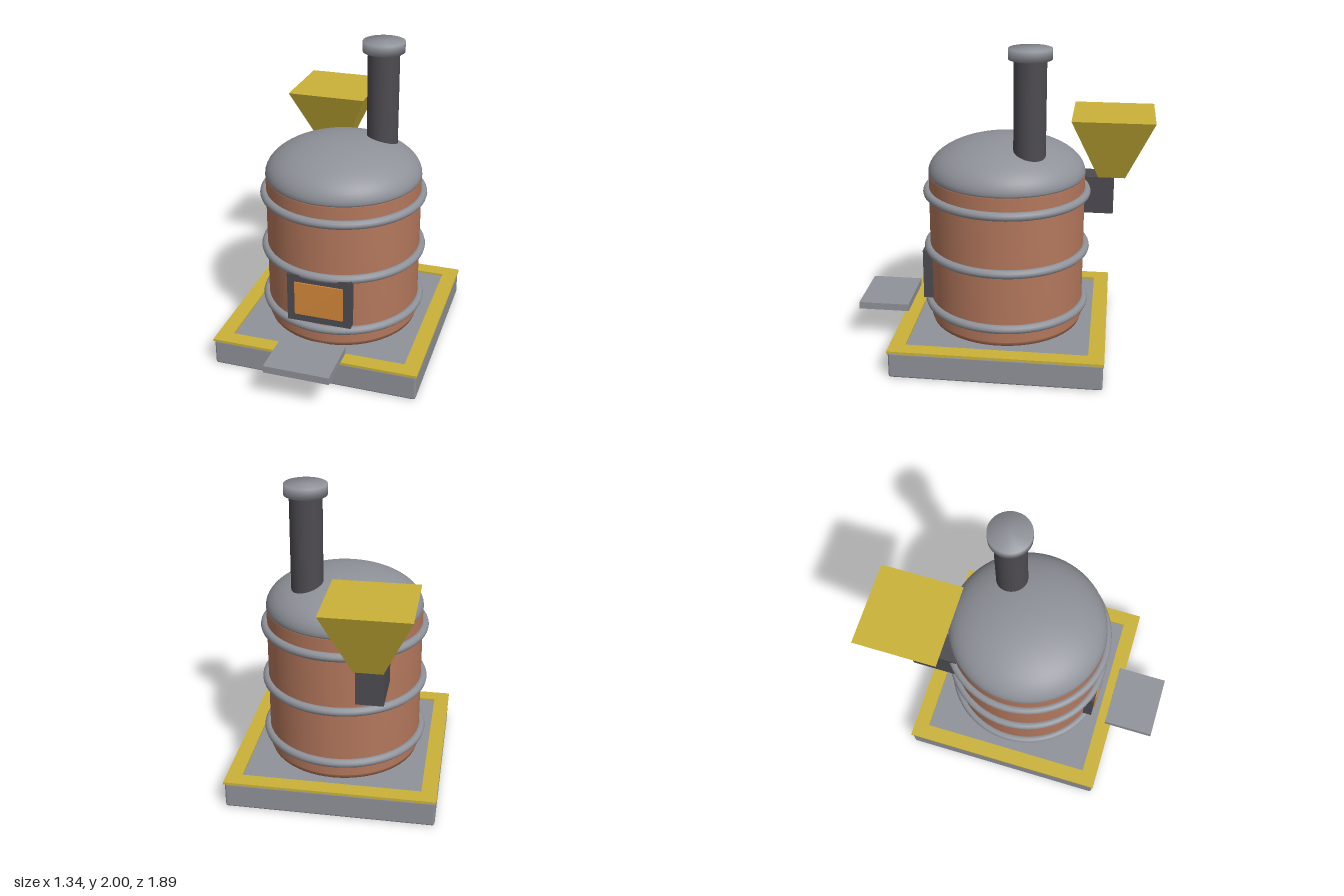
import * as THREE from 'three';
import { mergeVertices } from 'three/addons/utils/BufferGeometryUtils.js';
import { RoundedBoxGeometry } from 'three/addons/geometries/RoundedBoxGeometry.js';

const material = (name, color) => {
  const m = new THREE.MeshStandardMaterial({ color });
  m.name = name;
  return m;
};

// Rectangular frame in the XY plane, extruded along +z
function frameGeometry(w, h, border, depth) {
  const rect = (target, x, y) => {
    target.moveTo(-x, -y);
    target.lineTo(x, -y);
    target.lineTo(x, y);
    target.lineTo(-x, y);
    target.closePath();
    return target;
  };
  const shape = rect(new THREE.Shape(), w / 2, h / 2);
  shape.holes.push(rect(new THREE.Path(), w / 2 - border, h / 2 - border));
  return new THREE.ExtrudeGeometry(shape, { depth, bevelEnabled: false });
}

// Weld a geometry so its normals blend over every edge
function smooth(geometry) {
  geometry.deleteAttribute('normal');
  geometry.deleteAttribute('uv');
  const welded = mergeVertices(geometry, 1e-4);
  welded.computeVertexNormals();
  return welded;
}

export function createModel() {
  const model = new THREE.Group();
  const steel = material('grey steel', 0x8f9299);
  const iron = material('dark iron', 0x4d4b51);
  const copper = material('copper', 0xb3775c);
  const brass = material('brass yellow', 0xcab238);
  const glow = material('orange glow', 0xd4893a);
  const CZ = -0.016; // shared axis of base and drum

  const add = (name, geometry, mat, x = 0, y = 0, z = 0) => {
    const mesh = new THREE.Mesh(geometry, mat);
    mesh.name = name;
    mesh.position.set(x, y, z);
    model.add(mesh);
    return mesh;
  };

  // Base and its brass border
  add('base', new RoundedBoxGeometry(1.33, 0.172, 1.33, 1, 0.014), steel, 0, 0.086, CZ);
  add('baseTrim', frameGeometry(1.34, 1.34, 0.1, 0.015), brass, 0, 0.17, CZ).rotation.x = -Math.PI / 2;

  // Drum with chamfered rims
  const drum = [[0, 0.17], [0.49, 0.17], [0.49, 0.19], [0.5, 0.2], [0.5, 1.15], [0.49, 1.17], [0, 1.17]];
  add('drum', new THREE.LatheGeometry(drum.map(p => new THREE.Vector2(...p)), 64), copper, 0, 0, CZ);

  // Domed lid: short rim and a flattened hemisphere
  const dome = [[0, 1.155], [0.495, 1.155]];
  for (let i = 0; i <= 16; i++) {
    const a = (i / 16) * Math.PI / 2;
    dome.push([0.502 * Math.cos(a), 1.17 + 0.23 * Math.sin(a)]);
  }
  dome[dome.length - 1][0] = 0;
  add('lid', new THREE.LatheGeometry(dome.map(p => new THREE.Vector2(...p)), 64), steel, 0, 0, CZ);

  // Hoops around the drum
  for (const y of [0.297, 0.671, 1.046]) {
    add('hoop', new THREE.TorusGeometry(0.51, 0.028, 12, 64), steel, 0, y, CZ).rotation.x = Math.PI / 2;
  }

  // Chimney and softly shaded cap
  add('chimney', new THREE.CylinderGeometry(0.1, 0.1, 0.72, 32), iron, 0.208, 1.59, -0.18);
  add('chimneyCap', smooth(new THREE.CylinderGeometry(0.132, 0.132, 0.065, 32)), steel, 0.208, 1.9675, -0.18);

  // Fire door
  add('doorFrame', frameGeometry(0.415, 0.33, 0.05, 0.06), iron, -0.002, 0.505, 0.445);
  add('doorPanel', new THREE.BoxGeometry(0.315, 0.23, 0.06), glow, -0.002, 0.505, 0.483);

  // Tray in front of the door
  add('tray', new THREE.BoxGeometry(0.415, 0.047, 0.333), steel, -0.002, 0.253, 0.779);

  // Feed chute and tapered hopper at the back
  add('feedChute', new THREE.BoxGeometry(0.17, 0.25, 0.31), iron, -0.253, 0.965, -0.545);
  const hopper = new THREE.CylinderGeometry(0.262 * Math.SQRT2, 0.087 * Math.SQRT2, 0.415, 4, 1).toNonIndexed();
  hopper.rotateY(Math.PI / 4);
  hopper.computeVertexNormals();
  add('hopper', hopper, brass, -0.253, 1.2975, -0.683);

  return model;
}
